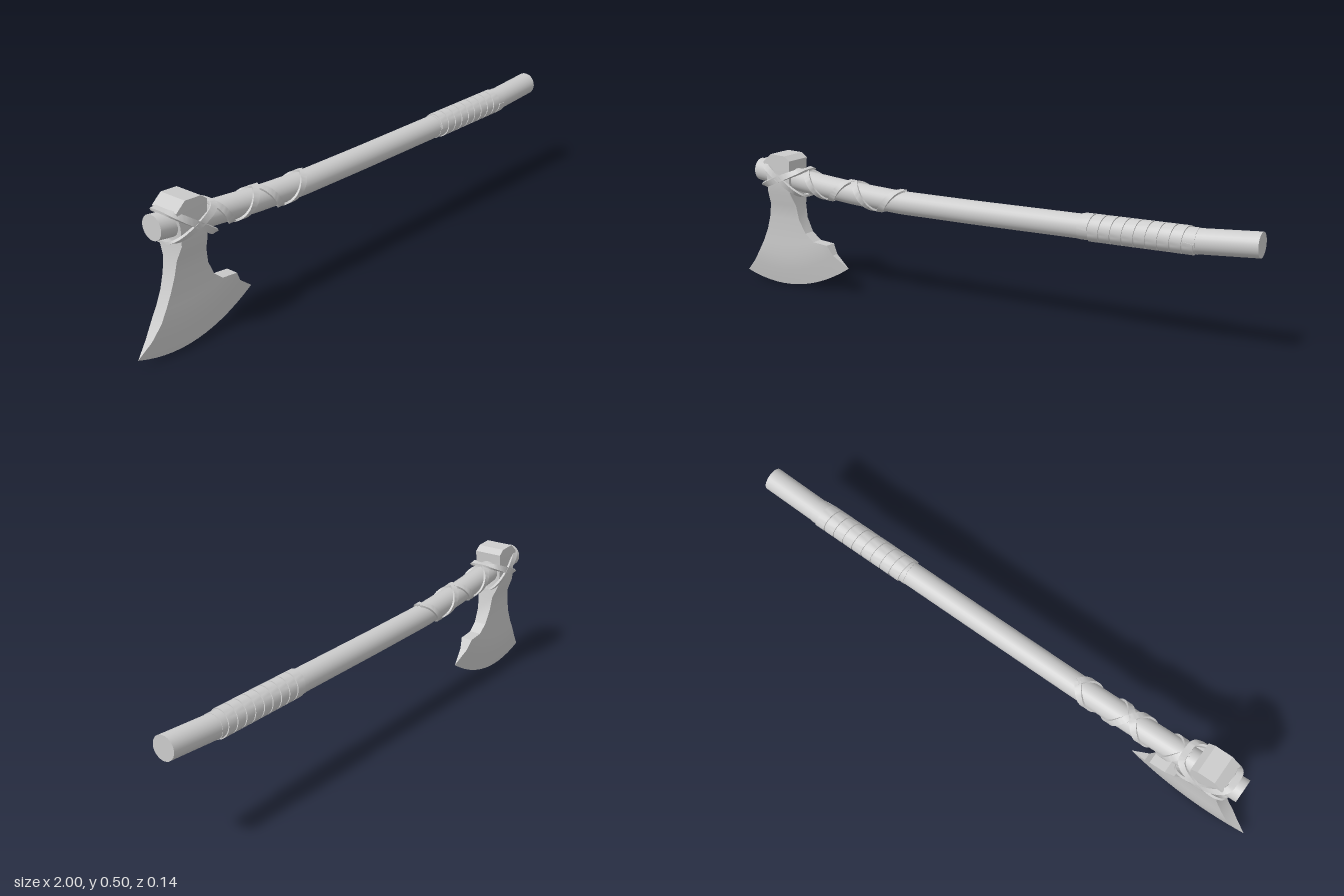
import * as THREE from 'three';
import { toCreasedNormals } from 'three/addons/utils/BufferGeometryUtils.js';

const material = new THREE.MeshStandardMaterial({ color: 0xcccccc });

// Height of the slightly curved handle axis at x
const AXIS = [[-0.92, 0.43], [-0.7, 0.4], [-0.5, 0.38], [-0.3, 0.368], [0, 0.366], [0.8, 0.367], [1, 0.38]];
function axisY(x) {
  let i = 0;
  while (i < AXIS.length - 2 && x > AXIS[i + 1][0]) i++;
  const [x0, y0] = AXIS[i], [x1, y1] = AXIS[i + 1];
  return THREE.MathUtils.mapLinear(x, x0, x1, y0, y1);
}

// Skin joining equal rings of points, with optional flat ends
function loft(rings, crease, capStart = true, capEnd = true) {
  const n = rings[0].length, last = (rings.length - 1) * n, index = [];
  for (let i = 0; i < rings.length - 1; i++) {
    for (let k = 0; k < n; k++) {
      const a = i * n + k, b = i * n + (k + 1) % n;
      index.push(a, a + n, b, b, a + n, b + n);
    }
  }
  for (let k = 1; k < n - 1; k++) {
    if (capStart) index.push(0, k, k + 1);
    if (capEnd) index.push(last, last + k + 1, last + k);
  }
  const g = new THREE.BufferGeometry().setFromPoints(rings.flat());
  g.setIndex(index);
  return toCreasedNormals(g, crease);
}

// Flat strap following path(t), lying against the handle
function strap(path, steps, width, thick, closed = false) {
  const rings = [];
  for (let i = 0; i <= steps; i++) {
    const t = i / steps, p = path(t);
    const tangent = path(t + 1e-4).sub(path(t - 1e-4)).normalize();
    const out = new THREE.Vector3(0, p.y - axisY(p.x), p.z);
    out.addScaledVector(tangent, -out.dot(tangent)).normalize();
    const side = tangent.clone().cross(out);
    rings.push([[1, 1], [-1, 1], [-1, -1], [1, -1]].map(([s, o]) =>
      p.clone().addScaledVector(side, s * width / 2).addScaledVector(out, o * thick / 2)));
  }
  return loft(rings, 0.7, !closed, !closed);
}

// Spiral path around the handle
function helix(x0, x1, turns, radius, phase) {
  return (t) => {
    const x = x0 + (x1 - x0) * t, a = phase + turns * Math.PI * 2 * t;
    return new THREE.Vector3(x, axisY(x) + radius * Math.sin(a), radius * Math.cos(a));
  };
}

// Round rod bent along the handle axis
function rod(x0, x1, radius, segments) {
  const g = new THREE.CylinderGeometry(radius, radius, x1 - x0, 28, segments);
  g.rotateZ(-Math.PI / 2).translate((x0 + x1) / 2, 0, 0);
  const p = g.attributes.position;
  for (let i = 0; i < p.count; i++) p.setY(i, p.getY(i) + axisY(p.getX(i)));
  return g;
}

// Axe head: rows from poll to cutting edge
// [left x, left y, right x, right y, half thickness, sag]
const HEAD = [
  [-0.83, 0.5, -0.768, 0.497, 0.052, 0],
  [-0.865, 0.47, -0.745, 0.48, 0.052, 0],
  [-0.852, 0.42, -0.75, 0.42, 0.052, 0],
  [-0.85, 0.36, -0.748, 0.36, 0.05, 0],
  [-0.855, 0.31, -0.738, 0.31, 0.03, 0],
  [-0.864, 0.26, -0.73, 0.26, 0.026, 0],
  [-0.88, 0.21, -0.705, 0.21, 0.023, 0],
  [-0.9, 0.165, -0.67, 0.182, 0.022, 0.01],
  [-0.922, 0.125, -0.61, 0.176, 0.022, 0.03],
  [-0.955, 0.077, -0.59, 0.14, 0.014, 0.045],
  [-1, 0.03, -0.53, 0.095, 0, 0.06],
];
function headGeometry() {
  const columns = 14;
  const rings = HEAD.map(([lx, ly, rx, ry, half, sag]) => {
    const front = [];
    for (let k = 0; k <= columns; k++) {
      const u = k / columns;
      front.push(new THREE.Vector3(lx + (rx - lx) * u, ly + (ry - ly) * u - 4 * sag * u * (1 - u), half));
    }
    const back = front.map((v) => new THREE.Vector3(v.x, v.y, -half)).reverse();
    return [...front, ...back];
  });
  return loft(rings, 0.4, true, false);
}

export function createModel() {
  const model = new THREE.Group();
  const add = (name, geometry) => {
    const mesh = new THREE.Mesh(geometry, material);
    mesh.name = name;
    model.add(mesh);
  };

  add('handle', rod(-0.915, 1, 0.041, 48));
  add('axeHead', headGeometry());

  // Grip: sleeve with a wound strap
  add('gripSleeve', rod(0.4, 0.8, 0.0425, 10));
  add('gripWrap', strap(helix(0.42, 0.78, 9, 0.043, 0), 270, 0.035, 0.006));

  // Two opposed spirals lashed below the head
  for (const dir of [1, -1]) {
    add(dir > 0 ? 'lashingA' : 'lashingB',
      strap(helix(-0.71, -0.285, 2 * dir, 0.0435, Math.PI / 2), 90, 0.022, 0.008));
  }

  // Crossed loops binding the head to the handle
  for (const dir of [1, -1]) {
    const loop = (t) => {
      const a = t * Math.PI * 2, c = Math.cos(a), s = Math.sin(a);
      const x = -0.79 + dir * 0.088 * s;
      return new THREE.Vector3(x, axisY(x) + 0.047 * s, 0.063 * Math.sign(c) * Math.sqrt(Math.abs(c)));
    };
    add(dir > 0 ? 'headBindingA' : 'headBindingB', strap(loop, 64, 0.022, 0.008, true));
  }
  return model;
}
